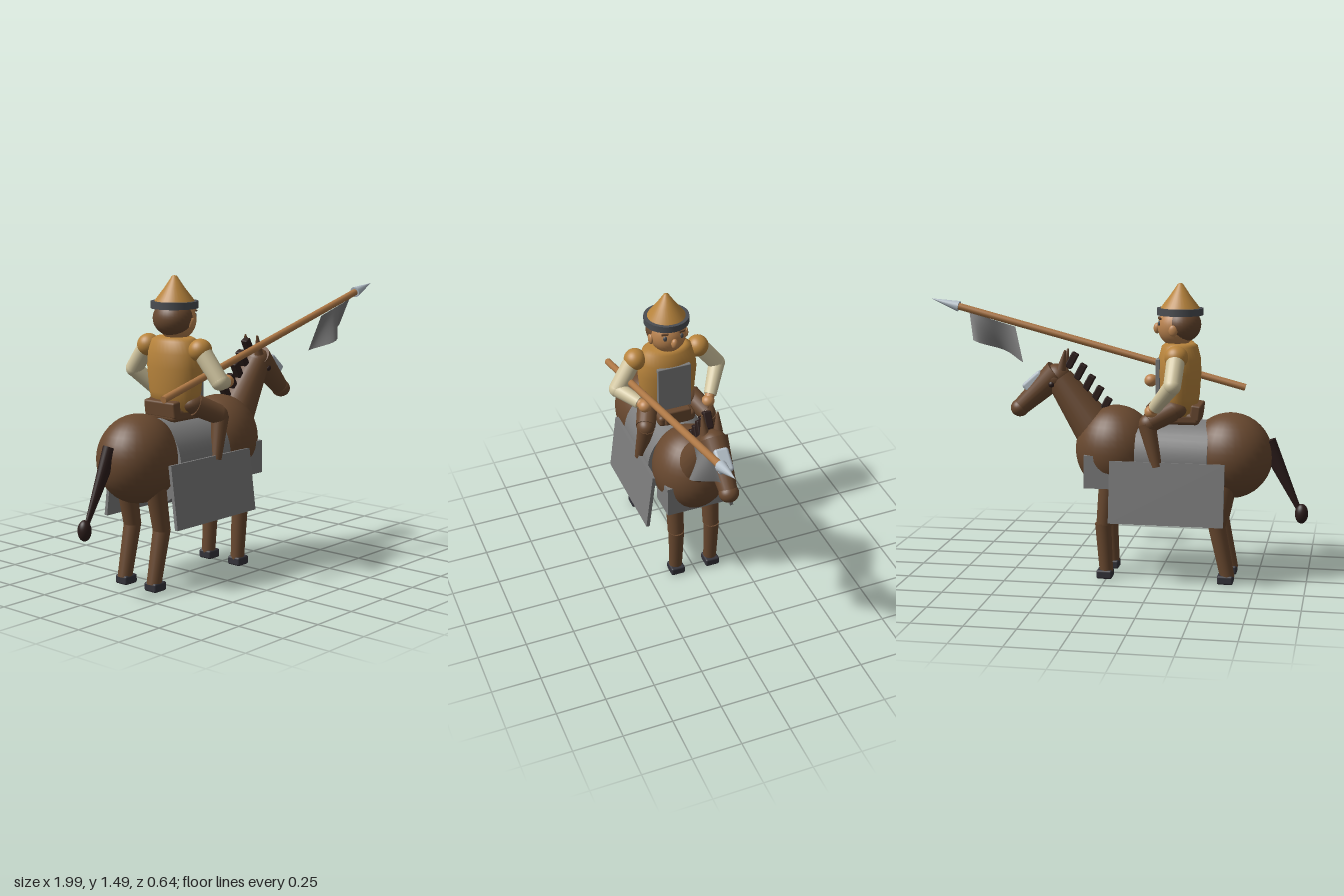
import * as THREE from 'three';
import { RoundedBoxGeometry } from 'three/addons/geometries/RoundedBoxGeometry.js';

const paint = (name, color) => {
  const m = new THREE.MeshStandardMaterial({ color });
  m.name = name;
  return m;
};

export function createModel() {
  const coat = paint('brown coat', 0x68482f);
  const dark = paint('dark mane', 0x2c1d1b);
  const hoof = paint('hoof', 0x34333a);
  const ochre = paint('ochre tunic', 0xb8843c);
  const cream = paint('cream sleeve', 0xd2c6a0);
  const skin = paint('skin', 0xbb8450);
  const grey = paint('grey plate', 0x7c7c7c);
  const steel = paint('pale steel', 0xb4bfc8);
  const iron = paint('dark iron', 0x4a4d52);
  const wood = paint('wood', 0xae7846);
  grey.side = THREE.DoubleSide;

  const model = new THREE.Group();
  model.name = 'mountedLancer';
  const horse = new THREE.Group();
  horse.name = 'horse';
  const rider = new THREE.Group();
  rider.name = 'rider';
  const lance = new THREE.Group();
  lance.name = 'lance';
  model.add(horse, rider, lance);

  const add = (parent, name, geo, mat, p = [0, 0, 0], rot = [0, 0, 0]) => {
    const m = new THREE.Mesh(geo, mat);
    m.name = name;
    m.position.set(...p);
    m.rotation.set(...rot);
    parent.add(m);
    return m;
  };
  // Ellipsoid with three radii
  const ball = (parent, name, mat, p, r, rot) => {
    const m = add(parent, name, new THREE.SphereGeometry(1, 32, 20), mat, p, rot);
    m.scale.set(...r);
    return m;
  };
  // Tapered cylinder between two points
  const limb = (parent, name, mat, a, b, ra, rb, sides = 20) => {
    const A = new THREE.Vector3(...a), B = new THREE.Vector3(...b);
    const d = B.clone().sub(A);
    const m = add(parent, name, new THREE.CylinderGeometry(rb, ra, d.length(), sides), mat,
      A.clone().add(B).multiplyScalar(0.5).toArray());
    m.quaternion.setFromUnitVectors(new THREE.Vector3(0, 1, 0), d.normalize());
    return m;
  };

  // Horse body, with the cloth showing between rump and chest
  ball(horse, 'rump', coat, [-0.61, 0.635, 0], [0.21, 0.215, 0.19]);
  ball(horse, 'chest', coat, [-0.03, 0.648, 0], [0.205, 0.224, 0.195]);
  const cloth = add(horse, 'saddleCloth', new THREE.CylinderGeometry(1, 1, 0.36, 40), grey,
    [-0.33, 0.6, 0], [0, 0, Math.PI / 2]);
  cloth.scale.set(0.21, 1, 0.186);

  // Neck and head
  limb(horse, 'neck', coat, [0.05, 0.71, 0], [0.262, 1.0, 0], 0.115, 0.068);
  ball(horse, 'poll', coat, [0.275, 1.005, 0], [0.072, 0.07, 0.07]);
  limb(horse, 'head', coat, [0.27, 1.03, 0], [0.465, 0.848, 0], 0.072, 0.044);
  ball(horse, 'muzzle', coat, [0.468, 0.845, 0], [0.047, 0.045, 0.05]);
  add(horse, 'facePlate', new RoundedBoxGeometry(0.12, 0.05, 0.075, 3, 0.015), steel,
    [0.393, 0.985, 0], [0, 0, -0.72]);

  // Mane tufts climbing the neck
  for (let i = 0; i < 5; i++) {
    add(horse, 'maneTuft', new RoundedBoxGeometry(0.036, 0.085, 0.04, 2, 0.006), dark,
      [0.025 + i * 0.043, 0.87 + i * 0.056, 0], [0, 0, 0.5]);
  }

  // Tail
  const tail = limb(horse, 'tail', dark, [-0.79, 0.71, 0], [-0.955, 0.37, 0], 0.046, 0.012);
  tail.scale.z = 0.7;
  ball(horse, 'tailTuft', dark, [-0.968, 0.35, 0], [0.033, 0.05, 0.032]);

  for (const s of [1, -1]) {
    limb(horse, 'ear', coat, [0.245, 1.05, s * 0.035], [0.224, 1.148, s * 0.04], 0.024, 0.005, 12);
    ball(horse, 'horseEye', dark, [0.29, 0.977, s * 0.062], [0.015, 0.015, 0.012]);

    // Legs and hooves
    const z = s * 0.098;
    limb(horse, 'frontUpperLeg', coat, [-0.01, 0.54, z], [0.012, 0.28, z], 0.048, 0.042);
    limb(horse, 'frontLowerLeg', coat, [0.02, 0.285, z], [0.003, 0.03, z], 0.041, 0.034);
    limb(horse, 'hindUpperLeg', coat, [-0.6, 0.54, z], [-0.555, 0.29, z], 0.052, 0.043);
    limb(horse, 'hindLowerLeg', coat, [-0.553, 0.3, z], [-0.612, 0.03, z], 0.043, 0.036);
    for (const x of [0.01, -0.602]) {
      add(horse, 'hoof', new RoundedBoxGeometry(0.08, 0.045, 0.076, 2, 0.01), hoof, [x, 0.0225, z]);
    }

    // Flared side panels
    add(horse, 'sidePanel', new THREE.BoxGeometry(0.57, 0.31, 0.018), grey,
      [-0.315, 0.47, s * 0.216], [-s * 0.13, 0, 0]);
  }
  add(horse, 'chestGuard', new THREE.BoxGeometry(0.16, 0.165, 0.35), grey, [0.025, 0.558, 0]);

  // Saddle
  add(horse, 'saddleSeat', new RoundedBoxGeometry(0.26, 0.06, 0.2, 2, 0.02), coat, [-0.33, 0.825, 0]);
  add(horse, 'cantle', new RoundedBoxGeometry(0.05, 0.08, 0.2, 2, 0.01), coat, [-0.44, 0.855, 0], [0, 0, 0.12]);
  add(horse, 'pommel', new RoundedBoxGeometry(0.04, 0.08, 0.14, 2, 0.01), coat, [-0.21, 0.845, 0]);

  // Rider torso
  const torsoProfile = [[0, 0.83], [0.12, 0.84], [0.145, 0.93], [0.156, 1.05], [0.15, 1.12], [0.128, 1.18], [0.1, 1.195], [0, 1.195]];
  const torso = add(rider, 'tunic',
    new THREE.LatheGeometry(torsoProfile.map(p => new THREE.Vector2(...p)), 36), ochre, [-0.35, 0, 0]);
  torso.scale.x = 0.69;
  add(rider, 'chestShield', new RoundedBoxGeometry(0.022, 0.25, 0.178, 2, 0.004), grey, [-0.252, 0.995, 0]);

  // Arms: the +z hand grips the lance, the other rests on the thigh
  const arms = [
    { shoulder: [-0.355, 1.13, 0.185], elbow: [-0.335, 1.0, 0.275], wrist: [-0.215, 0.975, 0.2], hand: [-0.178, 0.975, 0.185] },
    { shoulder: [-0.355, 1.13, -0.185], elbow: [-0.35, 1.015, -0.275], wrist: [-0.255, 0.895, -0.2], hand: [-0.235, 0.872, -0.18] },
  ];
  for (const { shoulder, elbow, wrist, hand } of arms) {
    const z = Math.sign(shoulder[2]) * 0.17;
    ball(rider, 'shoulder', ochre, [-0.355, 1.142, z], [0.058, 0.056, 0.056]);
    limb(rider, 'upperSleeve', cream, shoulder, elbow, 0.045, 0.043);
    ball(rider, 'elbow', cream, elbow, [0.043, 0.043, 0.043]);
    limb(rider, 'lowerSleeve', cream, elbow, wrist, 0.042, 0.033);
    limb(rider, 'wrist', skin, wrist, hand, 0.026, 0.026);
    ball(rider, 'hand', skin, hand, [0.034, 0.032, 0.034]);
  }

  // Legs astride the saddle
  for (const s of [1, -1]) {
    ball(rider, 'hip', coat, [-0.33, 0.875, s * 0.1], [0.07, 0.05, 0.06]);
    limb(rider, 'thigh', coat, [-0.33, 0.87, s * 0.115], [-0.222, 0.815, s * 0.168], 0.054, 0.05);
    ball(rider, 'knee', coat, [-0.222, 0.81, s * 0.168], [0.05, 0.05, 0.046]);
    limb(rider, 'shin', coat, [-0.212, 0.81, s * 0.17], [-0.265, 0.6, s * 0.19], 0.044, 0.026);
    ball(rider, 'boot', coat, [-0.25, 0.575, s * 0.185], [0.055, 0.03, 0.022]);
  }

  // Head and face
  ball(rider, 'head', skin, [-0.335, 1.275, 0], [0.096, 0.1, 0.094]);
  ball(rider, 'hair', coat, [-0.362, 1.285, 0], [0.093, 0.088, 0.102]);
  ball(rider, 'nose', skin, [-0.236, 1.265, 0], [0.018, 0.027, 0.018]);
  for (const s of [1, -1]) {
    ball(rider, 'riderEar', skin, [-0.328, 1.262, s * 0.094], [0.022, 0.028, 0.012]);
    ball(rider, 'riderEye', iron, [-0.254, 1.292, s * 0.043], [0.008, 0.014, 0.011]);
    add(rider, 'eyebrow', new THREE.BoxGeometry(0.009, 0.009, 0.034), coat, [-0.254, 1.318, s * 0.045], [s * 0.15, s * -0.4, 0]);
  }

  // Pointed hat with iron band
  const hatProfile = [[0.102, 1.345], [0.096, 1.37], [0.05, 1.43], [0.012, 1.487], [0, 1.49]];
  add(rider, 'hat', new THREE.LatheGeometry(hatProfile.map(p => new THREE.Vector2(...p)), 32), ochre, [-0.35, 0, 0]);
  add(rider, 'hatBand', new THREE.CylinderGeometry(0.115, 0.115, 0.034, 32), iron, [-0.35, 1.35, 0]);

  // Lance shaft and point
  limb(lance, 'shaft', wood, [-0.66, 0.947, 0.214], [0.86, 1.342, 0.202], 0.018, 0.018, 14);
  limb(lance, 'spearPoint', steel, [0.84, 1.337, 0.202], [0.985, 1.375, 0.2], 0.028, 0.001, 14);

  // Pennant: a quad whose ripple grows away from the shaft
  const flag = new THREE.PlaneGeometry(1, 1, 16, 8);
  const pos = flag.attributes.position;
  for (let i = 0; i < pos.count; i++) {
    const u = pos.getX(i) + 0.5, v = 0.5 - pos.getY(i);
    const x = 0.54 + 0.245 * u + v * (-0.05 + 0.02 * u);
    const y = 1.235 + 0.07 * u - v * (0.18 - 0.04 * u);
    pos.setXYZ(i, x, y, 0.208 + v * 0.047 * Math.sin(u * Math.PI * 2 - 1.2));
  }
  flag.computeVertexNormals();
  add(lance, 'pennant', flag, grey);

  return model;
}
